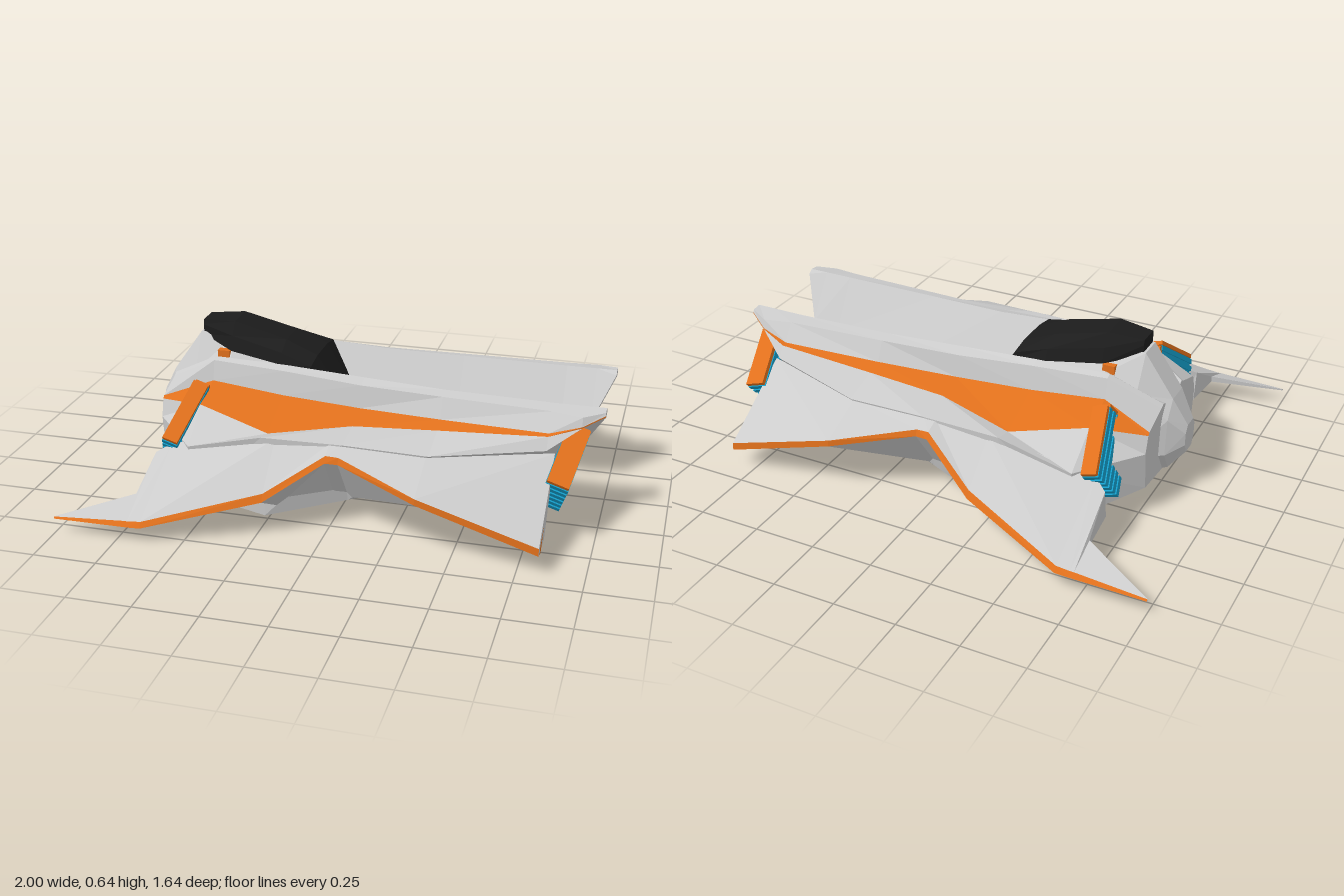
import * as THREE from 'three';

const material = (color) => new THREE.MeshStandardMaterial({ color, flatShading: true, side: THREE.DoubleSide });
const GREY = material(0xcccccc);
const ORANGE = material(0xe0701c);
const BLUE = material(0x149cc8);
const BLACK = material(0x1c1c1c);

function mesh(name, geometry, mat) {
  const m = new THREE.Mesh(geometry, mat);
  m.name = name;
  return m;
}

// Skins closed cross-sections [x, [z, y], ...]; keep(j) picks the columns to draw.
function loft(sections, keep = () => true, caps = true) {
  const pos = [];
  const rings = sections.map(([x, ...pts]) => pts.map(([z, y]) => [x, y, z]));
  const n = rings[0].length;
  const tri = (a, b, c) => pos.push(...a, ...b, ...c);
  for (let i = 0; i < rings.length - 1; i++) {
    for (let j = 0; j < n; j++) {
      if (!keep(j)) continue;
      const k = (j + 1) % n;
      const [a, b, c, d] = [rings[i][j], rings[i + 1][j], rings[i][k], rings[i + 1][k]];
      tri(a, c, b);
      tri(b, c, d);
    }
  }
  if (caps) {
    for (const [ring, end] of [[rings[0], false], [rings[rings.length - 1], true]]) {
      const mid = [0, 1, 2].map((q) => ring.reduce((s, p) => s + p[q], 0) / n);
      for (let j = 0; j < n; j++) {
        const k = (j + 1) % n;
        if (end) tri(mid, ring[j], ring[k]);
        else tri(mid, ring[k], ring[j]);
      }
    }
  }
  const g = new THREE.BufferGeometry();
  g.setAttribute('position', new THREE.Float32BufferAttribute(pos, 3));
  g.computeVertexNormals();
  return g;
}

// Completes half sections into full ones, symmetric about z = 0.
const mirrored = (sections) => sections.map(([x, ...pts]) =>
  [x, ...pts, ...pts.slice().reverse().map(([z, y]) => [-z, y])]);

// Slanted stack of slats with a thin frame on its top and inner edges.
function vent(name, [x, y, z], length, height, depth) {
  const group = new THREE.Group();
  group.name = name;
  const box = (part, mat, w, h, d, px, py) => {
    const m = mesh(part, new THREE.BoxGeometry(w, h, d), mat);
    m.position.set(px, py, 0);
    group.add(m);
  };
  box('ventCore', BLUE, length * 0.94, height * 0.96, depth * 0.84, 0, 0);
  const slats = 6;
  const pitch = height / slats;
  for (let i = 0; i < slats; i++) {
    box('ventSlat', BLUE, length, pitch * 0.65, depth, 0, (i + 0.5) * pitch - height / 2);
  }
  box('ventTopFrame', ORANGE, length * 0.98, 0.016, depth * 0.96, 0, height / 2 + 0.006);
  box('ventInnerFrame', ORANGE, 0.016, height * 0.9, depth * 0.9, -length / 2 - 0.006, 0);
  const u = new THREE.Vector3(-0.19, -0.576, 0.818).normalize();
  const v = new THREE.Vector3(0.25, 0.81, 0.56);
  v.addScaledVector(u, -u.dot(v)).normalize();
  const w = new THREE.Vector3().crossVectors(u, v);
  group.quaternion.setFromRotationMatrix(new THREE.Matrix4().makeBasis(u, v, w));
  group.position.set(x, y, z);
  return group;
}

function createSide(name) {
  const side = new THREE.Group();
  side.name = name;

  // Long prong: inner wall, ridge, stripe shelf, wing root, belly
  const prong = [
    [-0.77, [0.05, 0.39], [0.10, 0.41], [0.12, 0.40], [0.24, 0.36], [0.25, 0.35], [0.27, 0.28], [0.25, 0.12], [0.06, 0.10]],
    [-0.57, [0.06, 0.45], [0.16, 0.52], [0.18, 0.51], [0.20, 0.43], [0.34, 0.38], [0.50, 0.27], [0.46, 0.05], [0.06, 0.05]],
    [-0.27, [0.06, 0.42], [0.17, 0.515], [0.20, 0.50], [0.22, 0.405], [0.42, 0.325], [0.50, 0.342], [0.48, 0], [0.20, 0.03]],
    [0.05, [0.05, 0.28], [0.17, 0.495], [0.22, 0.48], [0.235, 0.39], [0.345, 0.36], [0.50, 0.347], [0.42, 0.08], [0.09, 0.08]],
    [0.38, [0.06, 0.27], [0.19, 0.485], [0.24, 0.475], [0.275, 0.395], [0.335, 0.375], [0.49, 0.335], [0.36, 0.17], [0.09, 0.17]],
    [0.80, [0.08, 0.28], [0.20, 0.48], [0.26, 0.47], [0.31, 0.40], [0.33, 0.395], [0.36, 0.35], [0.28, 0.25], [0.10, 0.23]],
    [0.92, [0.08, 0.30], [0.20, 0.48], [0.28, 0.465], [0.29, 0.43], [0.29, 0.425], [0.26, 0.415], [0.22, 0.41], [0.09, 0.29]],
    [1.00, [0.18, 0.465], [0.20, 0.48], [0.24, 0.476], [0.245, 0.465], [0.245, 0.46], [0.24, 0.455], [0.22, 0.45], [0.19, 0.455]],
  ];
  side.add(mesh('prong', loft(prong, (j) => j !== 3), GREY));
  side.add(mesh('prongStripe', loft(prong, (j) => j === 3, false), ORANGE));

  // Swept wing: root top, edge top, edge bottom, root bottom
  const wing = [
    [-1.00, [0.812, 0.066], [0.814, 0.066], [0.82, 0.06], [0.812, 0.06]],
    [-0.72, [0.67, 0.13], [0.805, 0.08], [0.82, 0.062], [0.67, 0.105]],
    [-0.705, [0.50, 0.23], [0.805, 0.08], [0.82, 0.062], [0.48, 0.11]],
    [-0.65, [0.46, 0.26], [0.805, 0.085], [0.82, 0.064], [0.45, 0.08]],
    [-0.22, [0.48, 0.335], [0.645, 0.18], [0.66, 0.15], [0.46, 0.04]],
    [0.00, [0.49, 0.345], [0.55, 0.32], [0.565, 0.295], [0.42, 0.09]],
    [0.05, [0.49, 0.345], [0.55, 0.318], [0.56, 0.293], [0.41, 0.09]],
    [0.37, [0.48, 0.332], [0.678, 0.25], [0.68, 0.225], [0.43, 0.16]],
    [0.83, [0.34, 0.335], [0.678, 0.11], [0.68, 0.08], [0.54, 0.08]],
  ];
  side.add(mesh('wing', loft(wing, (j) => j !== 1), GREY));
  side.add(mesh('wingEdge', loft(wing, (j) => j === 1, false), ORANGE));

  // Painted corner on the wing's blunt front
  const corner = new THREE.Shape([[-0.58, 0.16], [-0.67, 0.11], [-0.675, 0.082], [-0.65, 0.082]]
    .map(([a, b]) => new THREE.Vector2(a, b)));
  const patch = mesh('wingCorner', new THREE.ShapeGeometry(corner), ORANGE);
  patch.rotation.y = Math.PI / 2;
  patch.position.x = 0.833;
  side.add(patch);

  side.add(vent('frontVent', [0.86, 0.258, 0.295], 0.265, 0.19, 0.09));
  side.add(vent('rearVent', [-0.64, 0.29, 0.335], 0.285, 0.19, 0.065));

  // Small cockpit hinge and belly rail
  const hinge = mesh('canopyHinge', new THREE.BoxGeometry(0.05, 0.035, 0.03), ORANGE);
  hinge.position.set(-0.55, 0.515, 0.11);
  const rail = mesh('bellyRail', loft([
    [-0.36, [0.12, 0.06], [0.19, 0.06], [0.18, 0.03], [0.13, 0.03]],
    [-0.15, [0.12, 0.08], [0.19, 0.08], [0.18, 0.015], [0.13, 0.015]],
    [0.05, [0.10, 0.12], [0.17, 0.12], [0.16, 0.05], [0.11, 0.05]],
    [0.13, [0.10, 0.14], [0.16, 0.14], [0.15, 0.10], [0.11, 0.10]],
  ]), GREY);
  side.add(hinge, rail);
  return side;
}

export function createModel() {
  const model = new THREE.Group();
  model.name = 'spacecraft';

  // Central body with blunt tail
  model.add(mesh('centreBody', loft(mirrored([
    [-0.85, [0.03, 0.30], [0.05, 0.27], [0.05, 0.22], [0.03, 0.18]],
    [-0.79, [0.05, 0.41], [0.10, 0.34], [0.11, 0.19], [0.06, 0.11]],
    [-0.67, [0.05, 0.58], [0.13, 0.44], [0.20, 0.20], [0.10, 0.065]],
    [-0.52, [0.06, 0.58], [0.14, 0.49], [0.24, 0.20], [0.14, 0.04]],
    [-0.25, [0.06, 0.50], [0.15, 0.49], [0.24, 0.20], [0.16, 0.035]],
    [-0.12, [0.05, 0.36], [0.11, 0.35], [0.18, 0.20], [0.14, 0.04]],
    [-0.03, [0.05, 0.285], [0.09, 0.22], [0.10, 0.12], [0.06, 0.05]],
    [0.07, [0.05, 0.28], [0.09, 0.20], [0.09, 0.11], [0.04, 0.07]],
  ])), GREY));

  // Dark faceted canopy, sloping down between the prongs
  model.add(mesh('canopy', loft(mirrored([
    [-0.66, [0.045, 0.63], [0.05, 0.61], [0.045, 0.565]],
    [-0.52, [0.065, 0.64], [0.10, 0.59], [0.115, 0.53]],
    [-0.30, [0.07, 0.585], [0.135, 0.55], [0.15, 0.505]],
    [-0.17, [0.07, 0.53], [0.16, 0.515], [0.16, 0.49]],
    [-0.03, [0.05, 0.295], [0.07, 0.295], [0.06, 0.28]],
  ])), BLACK));

  // Thin sill under the canopy's lower edge
  const sill = mesh('canopySill', new THREE.BoxGeometry(0.012, 0.012, 0.11), ORANGE);
  sill.position.set(-0.025, 0.285, 0);
  model.add(sill);

  const near = createSide('nearSide');
  const far = createSide('farSide');
  far.scale.z = -1;
  model.add(near, far);
  return model;
}
